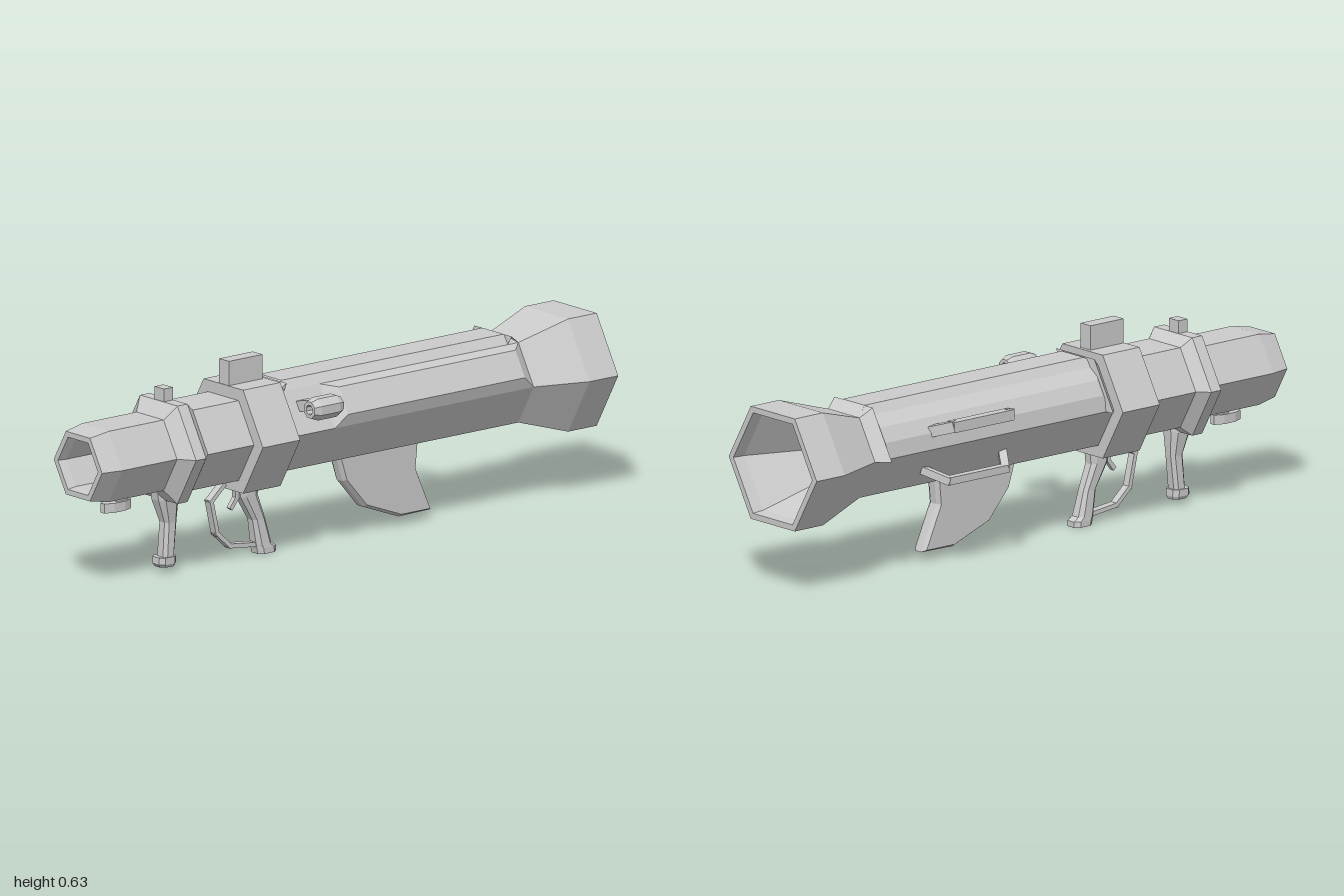
import * as THREE from 'three';

const CX = -0.013, CY = 0.393, R = 0.147, AP = R * Math.cos(Math.PI / 6);
const mat = new THREE.MeshStandardMaterial({ color: 0xcccccc, flatShading: true, side: THREE.DoubleSide });

export function createModel() {
  const root = new THREE.Group();
  const add = (name, geo, x = 0, y = 0, z = 0, parent = root) => {
    const m = new THREE.Mesh(geo.index ? geo.toNonIndexed() : geo, mat);
    m.geometry.computeVertexNormals();
    m.name = name;
    m.position.set(x, y, z);
    parent.add(m);
    return m;
  };
  const box = (name, x, y, z, w, h, d) => add(name, new THREE.BoxGeometry(w, h, d), x, y, z);

  // Lathe around the z axis from [radius, z] points
  const turned = (pts, sides = 6, start = Math.PI / 2, arc = Math.PI * 2) =>
    new THREE.LatheGeometry(pts.map(p => new THREE.Vector2(...p)), sides, start, arc).rotateX(Math.PI / 2);

  // Straight square bar between two points
  const bar = (name, a, b, w, h, parent) => {
    const A = new THREE.Vector3(...a), B = new THREE.Vector3(...b);
    const m = add(name, new THREE.BoxGeometry(w, h, A.distanceTo(B) + w * 0.5), 0, 0, 0, parent);
    m.position.copy(A).add(B).multiplyScalar(0.5);
    m.lookAt(B);
    return m;
  };
  const barChain = (name, pts, w, h) => {
    const g = new THREE.Group();
    g.name = name;
    for (let i = 0; i + 1 < pts.length; i++) bar(name + 'Bar', pts[i], pts[i + 1], w, h, g);
    root.add(g);
  };

  // Vertical loft of chamfered rectangles: [y, z, half depth, half width], listed top to bottom
  const loft = (name, sections) => {
    const c = 0.55, ring = [[1, c], [c, 1], [-c, 1], [-1, c], [-1, -c], [-c, -1], [c, -1], [1, -c]];
    const pos = [], idx = [], n = ring.length;
    sections.forEach(([y, z, d, w]) => ring.forEach(([u, v]) => pos.push(CX + u * w, y, z + v * d)));
    for (let s = 0; s + 1 < sections.length; s++)
      for (let i = 0; i < n; i++) {
        const a = s * n + i, b = s * n + (i + 1) % n;
        idx.push(a, b, a + n, b, b + n, a + n);
      }
    const last = (sections.length - 1) * n;
    for (let i = 1; i + 1 < n; i++) {
      idx.push(0, i + 1, i);
      idx.push(last, last + i, last + i + 1);
    }
    const g = new THREE.BufferGeometry();
    g.setAttribute('position', new THREE.Float32BufferAttribute(pos, 3));
    g.setIndex(idx);
    add(name, g);
  };

  // Hexagonal tube: outside from rear bell to muzzle, then back through the bore
  add('tube', turned([
    [0.207, -1], [0.207, -0.885], [R, -0.71], [R, 0.265], [0.19, 0.265], [0.19, 0.415],
    [R, 0.415], [R, 0.6], [0.18, 0.635], [0.18, 0.675], [0.13, 0.71], [0.13, 0.93], [0.116, 1],
    [0.096, 1], [0.09, 0.97], [0.09, -0.72], [0.18, -0.96], [0.185, -1], [0.207, -1],
  ]), CX, CY);

  // Bevelled cover plates on the upper faces of the tube
  const plate = (name, angle, z0, z1, h, insetX, insetZ) => {
    const len = z1 - z0, g = new THREE.BoxGeometry(R, h, len), p = g.attributes.position;
    for (let i = 0; i < p.count; i++)
      if (p.getY(i) > 0) {
        p.setX(i, Math.sign(p.getX(i)) * (R / 2 - insetX));
        p.setZ(i, Math.sign(p.getZ(i)) * (len / 2 - insetZ));
      }
    g.translate(0, AP + h / 2, (z0 + z1) / 2);
    add(name, g, CX, CY).rotation.z = angle;
  };
  plate('topPlate', 0, -0.71, 0.265, 0.029, 0.022, 0.04);
  plate('leftPlate', -Math.PI / 3, -0.71, 0.09, 0.03, 0.028, 0.045);
  plate('rightPlate', Math.PI / 3, -0.71, 0.265, 0.02, 0.048, 0.04);

  // Lips at both ends of the plates
  const lips = [[[R, -0.71], [0.18, -0.67], [0.14, -0.667]], [[0.14, 0.232], [0.18, 0.235], [R, 0.265]]];
  lips.forEach((pts, i) =>
    add(i ? 'frontLip' : 'rearLip', turned(pts, 2, Math.PI * 5 / 6, Math.PI * 2 / 3), CX, CY));

  // Iron sights on top
  box('rearSight', CX, 0.59, 0.345, 0.047, 0.09, 0.135);
  box('frontSight', CX, 0.562, 0.655, 0.046, 0.055, 0.036);

  // Side scope: octagonal tube with narrowed ends, on an arm and base
  add('scope', turned([
    [0.028, 0.118], [0.037, 0.138], [0.037, 0.212], [0.028, 0.235],
    [0.016, 0.235], [0.016, 0.118], [0.028, 0.118],
  ], 8, Math.PI / 8), 0.185, 0.485);
  bar('scopeArm', [0.08, 0.47, 0.175], [0.155, 0.488, 0.175], 0.05, 0.034);

  // Carrying handles on the right side
  barChain('upperHandle', [
    [-0.12, 0.44, -0.475], [-0.205, 0.468, -0.43], [-0.205, 0.468, -0.2], [-0.12, 0.44, -0.155],
  ], 0.03, 0.034);
  barChain('lowerHandle', [
    [-0.12, 0.32, -0.475], [-0.184, 0.292, -0.43], [-0.184, 0.292, -0.2], [-0.12, 0.32, -0.155],
  ], 0.026, 0.024);

  // Front grip with its foot
  loft('frontGrip', [
    [0.275, 0.652, 0.044, 0.03], [0.235, 0.65, 0.04, 0.032], [0.16, 0.638, 0.024, 0.022], [0.05, 0.648, 0.022, 0.025],
  ]);
  loft('frontGripFoot', [
    [0.052, 0.653, 0.033, 0.029], [0.03, 0.653, 0.034, 0.029], [0.02, 0.651, 0.028, 0.024],
  ]);

  // Trigger grip, trigger and guard
  loft('triggerGrip', [
    [0.24, 0.325, 0.042, 0.024], [0.19, 0.322, 0.034, 0.024], [0.11, 0.283, 0.025, 0.022],
    [0.03, 0.265, 0.03, 0.027], [0.018, 0.255, 0.038, 0.028], [0, 0.253, 0.036, 0.028],
  ]);
  barChain('triggerGuard', [
    [CX, 0.25, 0.41], [CX, 0.195, 0.472], [CX, 0.09, 0.448], [CX, 0.042, 0.395], [CX, 0.03, 0.29],
  ], 0.026, 0.014);
  barChain('trigger', [[CX, 0.235, 0.37], [CX, 0.19, 0.365], [CX, 0.16, 0.388]], 0.016, 0.014);

  // Shoulder rest: bevelled fin below the tube
  const fin = new THREE.Shape([
    [0.03, 0.275], [0.06, 0.18], [0.14, 0.088], [0.28, 0.035], [0.395, 0.035], [0.335, 0.17], [0.345, 0.275],
  ].map(p => new THREE.Vector2(...p)));
  const finGeo = new THREE.ExtrudeGeometry(fin, {
    depth: 0.026, bevelEnabled: true, bevelSegments: 1, bevelThickness: 0.014, bevelSize: 0.009,
  });
  add('shoulderRest', finGeo.translate(0, 0, -0.013).rotateY(Math.PI / 2), CX);

  // Small stud under the muzzle
  box('studStem', CX, 0.268, 0.83, 0.022, 0.05, 0.045);
  const stud = new THREE.CylinderGeometry(0.055, 0.055, 0.03, 8).rotateY(Math.PI / 8).scale(0.42, 1, 1.05);
  add('stud', stud, CX, 0.243, 0.848);

  return root;
}
